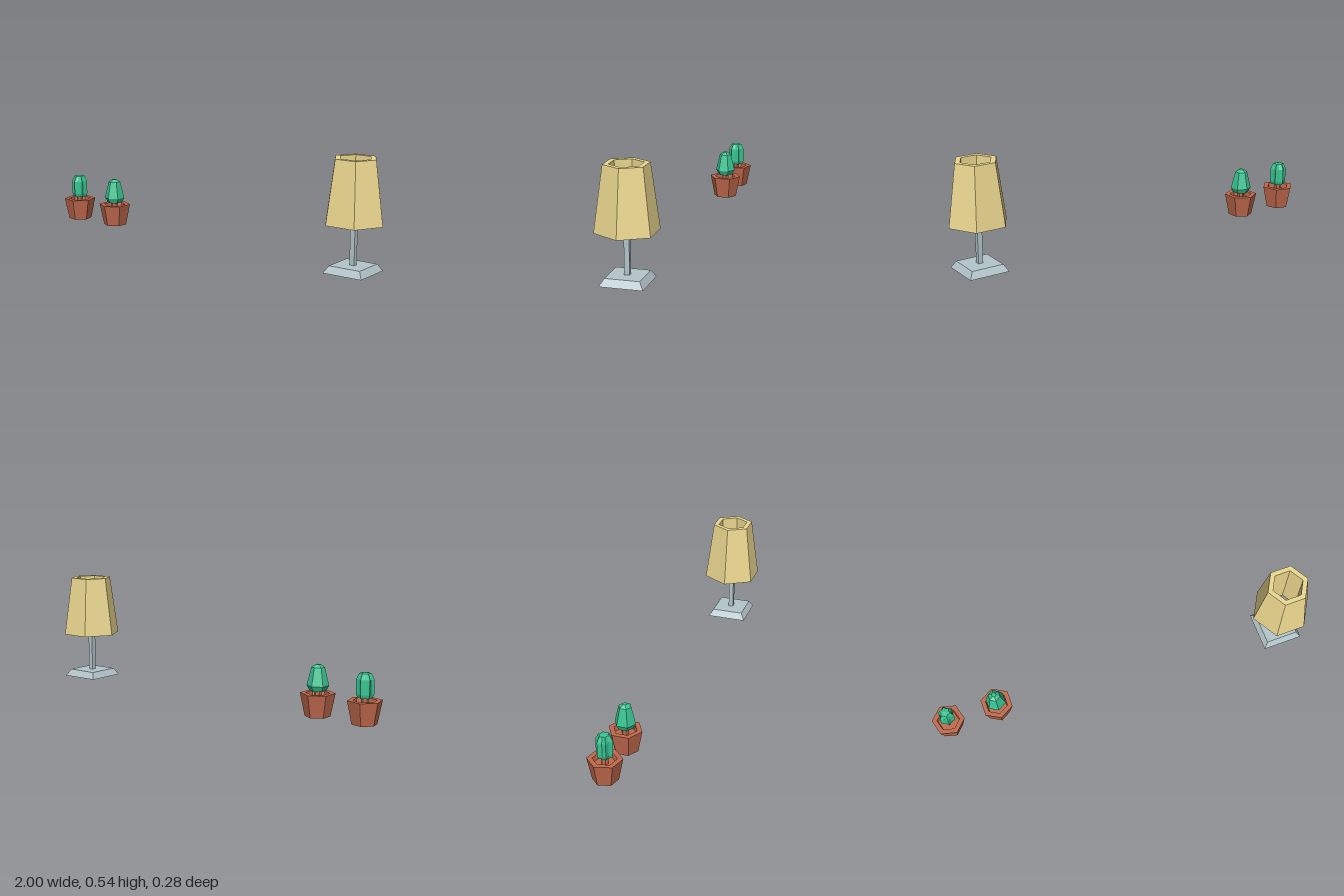
import * as THREE from 'three';

const mat = (color) => new THREE.MeshStandardMaterial({ color, flatShading: true });

// Faceted solid of revolution; the profile [radius, height] runs from the underside outward and up
function turned(name, profile, sides, material, turn = 0) {
  const points = profile.map(([r, y]) => new THREE.Vector2(r, y));
  const mesh = new THREE.Mesh(new THREE.LatheGeometry(points, sides), material);
  mesh.rotation.y = turn;
  mesh.name = name;
  return mesh;
}

// Pull every second column of vertices inward to form vertical ribs
function addRibs(mesh, rows, depth) {
  const pos = mesh.geometry.attributes.position;
  for (let i = 0; i < pos.count; i++) {
    if (Math.floor(i / rows) % 2 === 1) pos.setXYZ(i, pos.getX(i) * depth, pos.getY(i), pos.getZ(i) * depth);
  }
}

export function createModel() {
  const model = new THREE.Group();
  const metal = mat(0xb4c6cb);
  const cloth = mat(0xecd88f);
  const clay = mat(0xc0694c);
  const green = mat(0x38c592);

  // Table lamp
  const lamp = new THREE.Group();
  lamp.name = 'tableLamp';
  lamp.position.set(0.848, 0, 0.011);
  const d = Math.SQRT2;
  lamp.add(turned('lampBase', [[0, 0], [0.101 * d, 0], [0.081 * d, 0.034], [0, 0.034]], 4, metal, Math.PI / 4));
  lamp.add(turned('lampStem', [[0, 0.034], [0.012 * d, 0.034], [0.013 * d, 0.3], [0, 0.3]], 4, metal, Math.PI / 4));
  lamp.add(turned('lampShade',
    [[0.079, 0.232], [0.149, 0.232], [0.106, 0.535], [0.079, 0.535], [0.079, 0.232]], 6, cloth, Math.PI / 6));
  model.add(lamp);

  // Clay pot with a recessed floor and a short stub carrying the cactus
  function pottedCactus(name, x, z, turn) {
    const group = new THREE.Group();
    group.name = name;
    group.position.set(x, 0, z);
    group.add(turned('pot',
      [[0, 0], [0.06, 0], [0.0825, 0.11], [0.057, 0.11], [0.053, 0.085], [0, 0.085]], 6, clay, turn));
    group.add(turned('stub', [[0.017, 0.085], [0.017, 0.122]], 6, clay));
    model.add(group);
    return group;
  }

  // Smooth-sided tapering cactus
  pottedCactus('taperedCactusPot', -0.665, -0.057, 0).add(turned('taperedCactus',
    [[0, 0.121], [0.039, 0.121], [0.052, 0.146], [0.031, 0.232], [0.012, 0.245], [0, 0.245]], 6, green));

  // Ribbed column cactus
  const column = [[0, 0.121], [0.034, 0.121], [0.041, 0.138], [0.041, 0.207], [0.027, 0.235], [0, 0.238]];
  const ribbed = turned('ribbedCactus', column, 12, green);
  addRibs(ribbed, column.length, 0.72);
  pottedCactus('ribbedCactusPot', -0.92, -0.059, Math.PI / 12).add(ribbed);

  return model;
}
